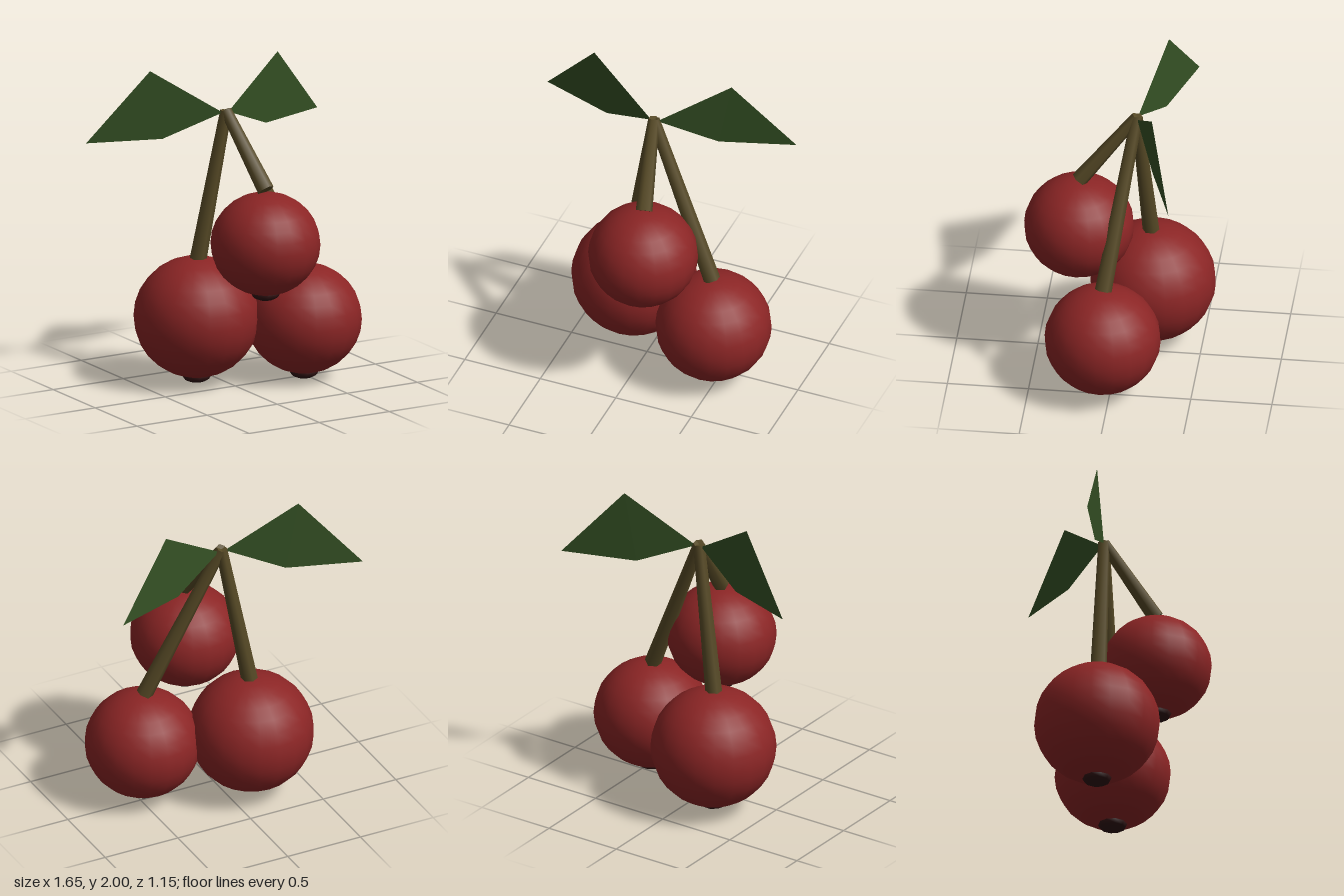
import * as THREE from 'three';

export function createModel() {
  const group = new THREE.Group();
  const mat = (name, color, extra = {}) => {
    const m = new THREE.MeshStandardMaterial({ color, ...extra });
    m.name = name;
    return m;
  };
  const red = mat('berry red', 0x8b2525);
  const dark = mat('calyx dark brown', 0x2e1010);
  const brown = mat('stem brown', 0x574a26);
  const green = mat('leaf green', 0x345024, { side: THREE.DoubleSide, flatShading: true });

  const add = (name, geometry, material) => {
    const mesh = new THREE.Mesh(geometry, material);
    mesh.name = name;
    group.add(mesh);
    return mesh;
  };

  // Tapered six-sided stem running from the shared joint down to a berry
  const joint = new THREE.Vector3(0, 1.72, -0.11);
  const addStem = (name, end) => {
    const dir = joint.clone().sub(end);
    const stem = add(name, new THREE.CylinderGeometry(0.036, 0.052, dir.length(), 6), brown);
    stem.position.copy(joint).add(end).multiplyScalar(0.5);
    stem.quaternion.setFromUnitVectors(new THREE.Vector3(0, 1, 0), dir.normalize());
  };

  // Slightly squashed berries, each with a small calyx underneath
  const berries = [
    { name: 'back', pos: [-0.163, 0.42, -0.19], r: 0.387, h: 0.377, end: [-0.16, 0.77, -0.18] },
    { name: 'left', pos: [0.461, 0.38, 0.048], r: 0.357, h: 0.342, end: [0.45, 0.725, 0.045] },
    { name: 'front', pos: [0.073, 0.948, 0.238], r: 0.338, h: 0.32, end: [0.078, 1.285, 0.235] },
  ];
  for (const { name, pos, r, h, end } of berries) {
    const berry = add(name + 'Berry', new THREE.SphereGeometry(1, 20, 14), red);
    berry.position.set(...pos);
    berry.scale.set(r, h, r);

    const calyx = add(name + 'Calyx', new THREE.SphereGeometry(1, 10, 6), dark);
    calyx.position.set(pos[0], pos[1] - h + 0.005, pos[2]);
    calyx.scale.set(0.09, 0.043, 0.09);

    addStem(name + 'Stem', new THREE.Vector3(...end));
  }

  // Mirrored pair of four-cornered leaves with a slight fold
  for (const s of [1, -1]) {
    const leaf = new THREE.BufferGeometry();
    leaf.setAttribute('position', new THREE.Float32BufferAttribute([
      s * 0.02, 1.71, -0.115,
      s * 0.37, 1.56, -0.25,
      s * 0.825, 1.56, -0.4,
      s * 0.455, 2.0, -0.255,
    ], 3));
    leaf.setIndex(s > 0 ? [0, 1, 3, 1, 2, 3] : [0, 3, 1, 1, 3, 2]);
    leaf.computeVertexNormals();
    add(s > 0 ? 'leftLeaf' : 'rightLeaf', leaf, green);
  }
  return group;
}
